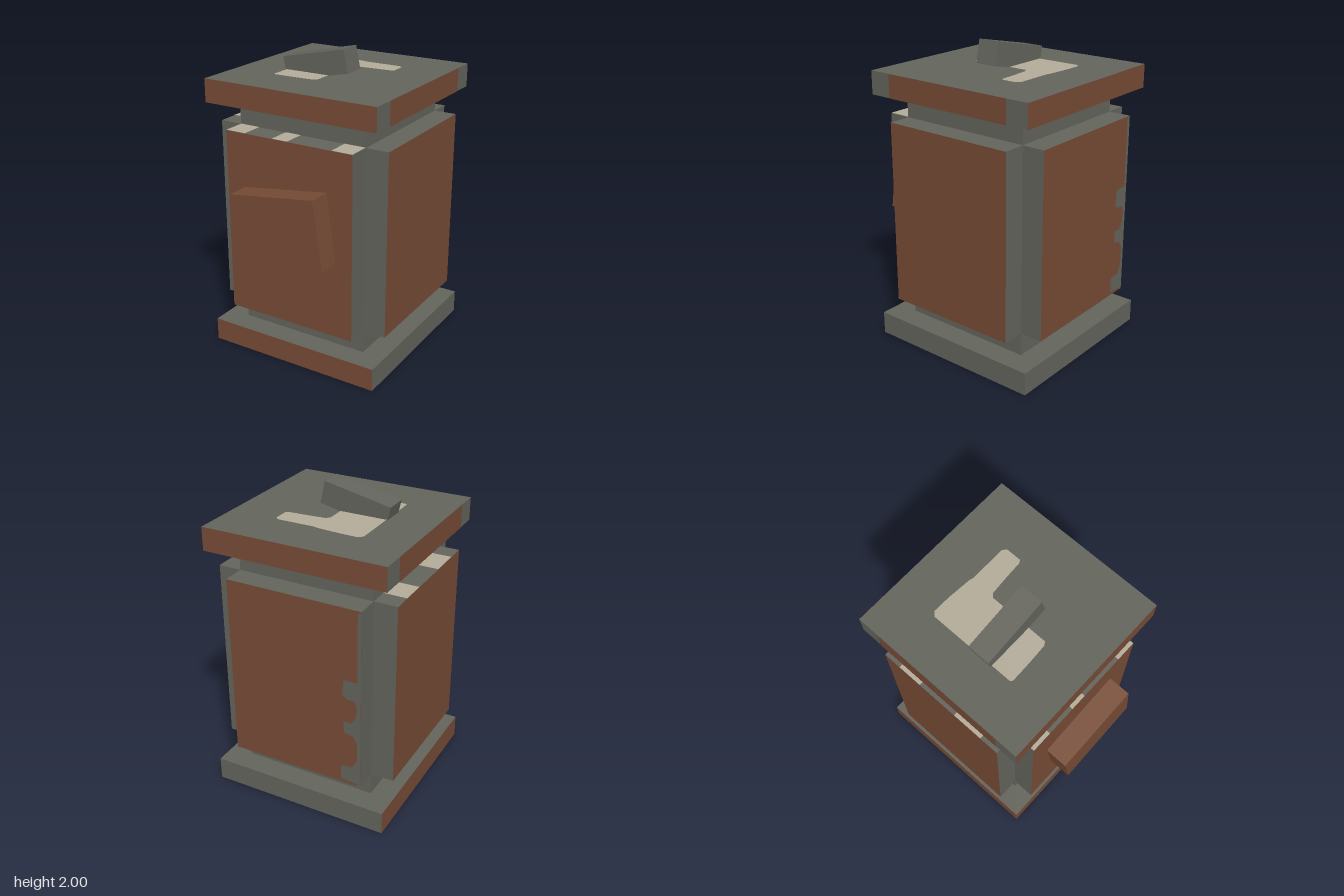
import * as THREE from 'three';

export function createModel() {
  const model = new THREE.Group();
  const mat = (name, color) => new THREE.MeshStandardMaterial({ name, color });
  const stone = mat('grey stone', 0x64655d);
  const rust = mat('rust brown', 0x784c36);
  const cream = mat('pale cream', 0xb5ad9b);
  const zc = -0.075; // the body sits slightly behind the front plaque

  // Box from its limits; rustSides lists the faces painted rust
  // (0 +x, 1 -x, 2 +y, 3 -y, 4 +z, 5 -z)
  function block(name, [x0, x1], [y0, y1], [z0, z1], rustSides = []) {
    const mats = [0, 1, 2, 3, 4, 5].map(i => (rustSides.includes(i) ? rust : stone));
    const mesh = new THREE.Mesh(
      new THREE.BoxGeometry(x1 - x0, y1 - y0, z1 - z0),
      rustSides.length ? mats : stone);
    mesh.position.set((x0 + x1) / 2, (y0 + y1) / 2, (z0 + z1) / 2);
    mesh.name = name;
    model.add(mesh);
    return mesh;
  }

  // Flat painted shape from a few outline points
  function paint(name, points, material) {
    const shape = new THREE.Shape(points.map(p => new THREE.Vector2(...p)));
    const mesh = new THREE.Mesh(new THREE.ShapeGeometry(shape), material);
    mesh.name = name;
    model.add(mesh);
    return mesh;
  }

  // Patch lying on a horizontal face; points are [x, z]
  function floorPaint(name, points, y) {
    const mesh = paint(name, points.map(([x, z]) => [x, -z]), cream);
    mesh.rotation.x = -Math.PI / 2;
    mesh.position.y = y;
  }
  const rect = (x0, x1, z0, z1) => [[x0, z0], [x0, z1], [x1, z1], [x1, z0]];

  // Base, core and lid
  const wide = [-0.605, 0.605], deep = [-0.68, 0.53];
  const inner = [-0.453, 0.453], innerZ = [-0.53, 0.38];
  const panelY = [0.305, 1.52];
  block('base', wide, [0, 0.152], deep, [1, 4]);
  block('core', inner, [0.152, 1.673], innerZ);
  block('lid', wide, [1.673, 1.825], deep, [4, 5]);

  // Rust bands on the lid sides
  for (const s of [1, -1]) {
    const band = paint('lidSideBand',
      [[-0.455, 1.673], [0.455, 1.673], [0.455, 1.825], [-0.455, 1.825]], rust);
    band.rotation.y = s * Math.PI / 2;
    band.position.set(s * 0.607, 0, zc);
  }

  // Four panels, rust on the outer faces
  block('frontPanel', inner, panelY, [0.38, 0.53], [4]);
  block('backPanel', inner, panelY, [-0.68, -0.53], [5]);
  block('leftPanel', [0.453, 0.605], panelY, innerZ, [0]);
  block('rightPanel', [-0.605, -0.453], panelY, innerZ, [1]);

  // Worn grey edge on the back panel
  const worn = paint('wornBackEdge', [
    [0.453, 0.305], [0.453, 1.52], [0.43, 1.5], [0.43, 1.05], [0.34, 1.05],
    [0.33, 0.95], [0.36, 0.92], [0.41, 0.92], [0.43, 0.88], [0.42, 0.8],
    [0.39, 0.76], [0.34, 0.76], [0.34, 0.68], [0.4, 0.67], [0.43, 0.62],
    [0.43, 0.5], [0.4, 0.44], [0.32, 0.43], [0.32, 0.33], [0.43, 0.32], [0.43, 0.305],
  ], stone);
  worn.rotation.y = Math.PI;
  worn.position.z = -0.682;

  // Cream chips along the panel tops
  for (const [a, b] of [[-0.45, -0.31], [-0.11, 0], [0.31, 0.45]])
    floorPaint('frontPanelChip', rect(a, b, 0.38, 0.53), 1.522);
  for (const [a, b] of [[-0.41, -0.24], [0.04, 0.25]])
    floorPaint('rightPanelChip', rect(-0.605, -0.453, a, b), 1.522);

  // Cream spill on the lid
  floorPaint('lidSpill', [
    [-0.305, -0.37], [-0.28, -0.395], [-0.16, -0.393], [0, -0.38], [0.02, -0.373],
    [0.27, -0.372], [0.293, -0.35], [0.293, -0.25], [0.275, -0.238], [0.16, -0.232],
    [0.03, -0.222], [0.007, -0.2], [0.005, 0.2], [-0.015, 0.215], [-0.15, 0.222],
    [-0.29, 0.225], [-0.305, 0.215],
  ], 1.827);

  // Tilted handle on the lid
  const handle = block('handle', [-0.32, 0.135], [1.806, 1.956], [-0.076, 0.076]);
  handle.rotation.z = 0.21;

  // Tilted plaque on the front
  const plaque = block('plaque', [-0.293, 0.309], [0.765, 1.215], [0.53, 0.68],
    [0, 1, 2, 3, 4, 5]);
  plaque.material = rust;
  plaque.rotation.z = 0.141;

  return model;
}
